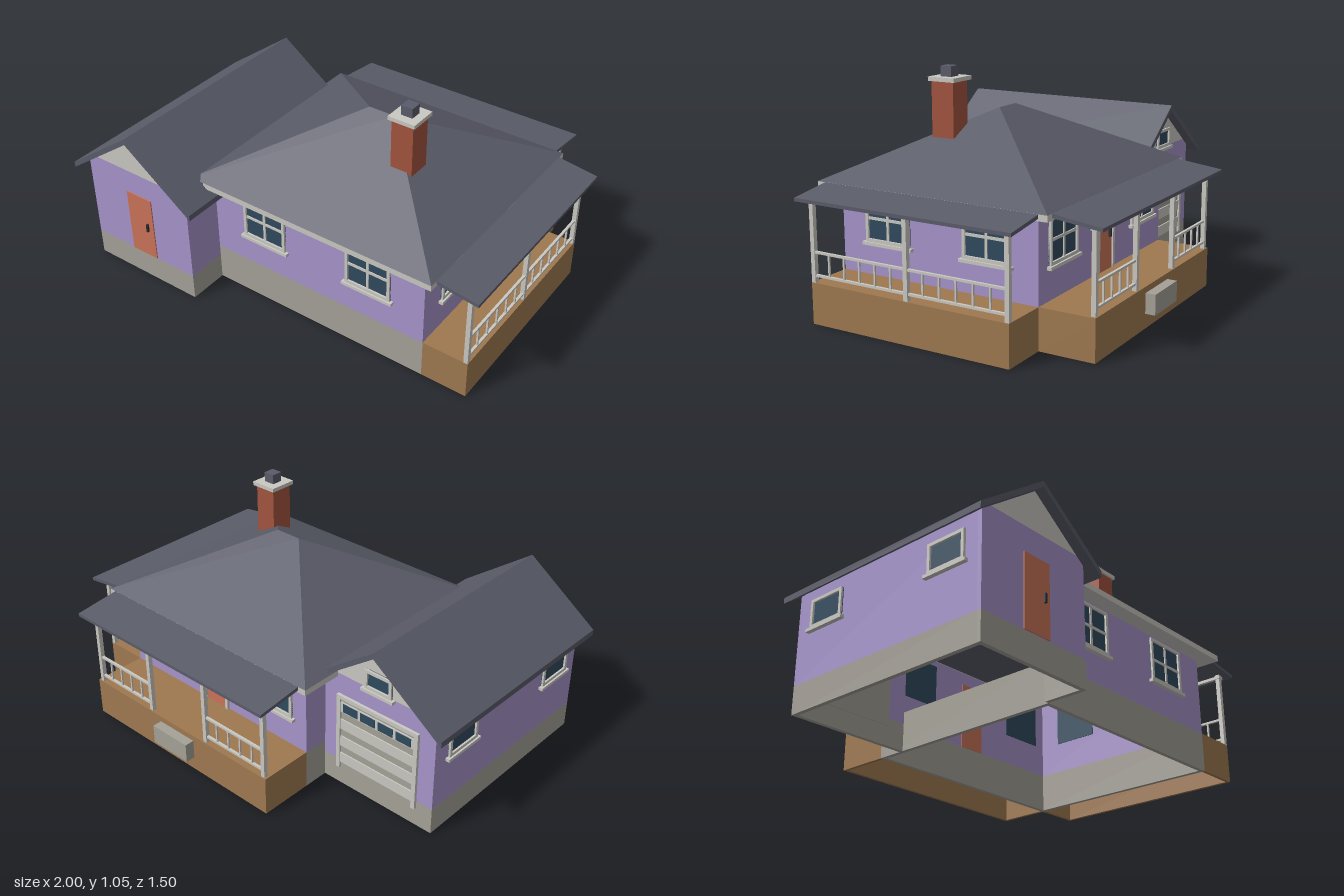
import * as THREE from 'three';

const mat = (name, color) => {
  const m = new THREE.MeshStandardMaterial({ color });
  m.name = name;
  return m;
};

export function createModel() {
  const siding = mat('lilac siding', 0xa694cb);
  const concrete = mat('concrete', 0xa5a198);
  const trim = mat('pale trim', 0xcac8c2);
  const slate = mat('slate roof', 0x5a5c69);
  slate.side = THREE.DoubleSide;
  const glass = mat('dark glass', 0x2f4a5e);
  const doorPaint = mat('orange door', 0xcb7359);
  const brick = mat('red brick', 0xa2543e);
  const wood = mat('brown wood', 0x9f7950);
  const dark = mat('dark metal', 0x2b2d33);

  const house = new THREE.Group();
  house.name = 'house';
  const group = (name, parent = house) => {
    const g = new THREE.Group();
    g.name = name;
    parent.add(g);
    return g;
  };
  const add = (parent, name, geo, material) => {
    const m = new THREE.Mesh(geo, material);
    m.name = name;
    parent.add(m);
    return m;
  };
  // box given by its limits on each axis
  const box = (parent, name, material, x0, x1, y0, y1, z0, z1) => {
    const m = add(parent, name, new THREE.BoxGeometry(x1 - x0, y1 - y0, z1 - z0), material);
    m.position.set((x0 + x1) / 2, (y0 + y1) / 2, (z0 + z1) / 2);
    return m;
  };
  // outline in x and y, extruded from z0 to z1
  const prism = (parent, name, material, pts, z0, z1) => {
    const shape = new THREE.Shape(pts.map(p => new THREE.Vector2(...p)));
    const geo = new THREE.ExtrudeGeometry(shape, { depth: z1 - z0, bevelEnabled: false });
    geo.translate(0, 0, z0);
    return add(parent, name, geo, material);
  };

  // ---- main house: foundation and walls, open below
  const T = 0.02;
  const main = group('mainHouse');
  const shell = (name, m, y0, y1) => {
    box(main, name + 'Front', m, -0.36, 0.74, y0, y1, 0.515 - T, 0.515);
    box(main, name + 'Back', m, -0.36, 0.74, y0, y1, -0.45, -0.45 + T);
    box(main, name + 'Left', m, 0.74 - T, 0.74, y0, y1, -0.45 + T, 0.515 - T);
  };
  shell('foundation', concrete, 0, 0.18);
  shell('wall', siding, 0.18, 0.56);
  box(main, 'foundationRight', concrete, -0.36, -0.36 + T, 0, 0.18, -0.45 + T, 0.515 - T);
  box(main, 'wallRight', siding, -0.36, -0.36 + T, 0.18, 0.56, -0.45 + T, -0.33);

  // ---- hipped roof with eaves board
  const E = { x0: -0.43, x1: 0.81, z0: -0.53, z1: 0.59 };
  const a = [E.x0, 0.575, E.z1], b = [E.x1, 0.575, E.z1], c = [E.x1, 0.575, E.z0], d = [E.x0, 0.575, E.z0];
  const p = [0.13, 0.86, 0.03], q = [0.26, 0.86, 0.03];
  const hip = new THREE.BufferGeometry();
  hip.setAttribute('position', new THREE.Float32BufferAttribute(
    [a, b, q, a, q, p, b, c, q, c, d, p, c, p, q, d, a, p].flat(), 3));
  hip.computeVertexNormals();
  add(main, 'hippedRoof', hip, slate);
  box(main, 'eavesFront', trim, -0.36, E.x1, 0.548, 0.575, 0.515, E.z1);
  box(main, 'eavesBack', trim, E.x0, E.x1, 0.548, 0.575, E.z0, -0.45);
  box(main, 'eavesLeft', trim, 0.74, E.x1, 0.548, 0.575, -0.45, 0.515);
  box(main, 'eavesRight', trim, E.x0, -0.36, 0.548, 0.575, -0.45, -0.33);

  // ---- chimney
  const chimney = group('chimney');
  box(chimney, 'chimneyStack', brick, 0.375, 0.48, 0.6, 0.987, 0.12, 0.23);
  box(chimney, 'chimneyCap', trim, 0.362, 0.492, 0.987, 1.005, 0.107, 0.24);
  box(chimney, 'chimneyFlue', slate, 0.4, 0.455, 1.005, 1.05, 0.147, 0.2);

  // ---- garage wing
  const garage = group('garageWing');
  const gx0 = -0.945, gx1 = -0.36, gz0 = -0.33, gz1 = 0.705, cx = -0.65, slope = 0.73;
  const under = x => 0.747 - slope * Math.abs(x - cx);
  for (const [side, z0, z1] of [['Front', gz1 - T, gz1], ['Back', gz0, gz0 + T]]) {
    box(garage, 'garageFoundation' + side, concrete, gx0, gx1, 0, 0.125, z0, z1);
    prism(garage, 'garageWall' + side, siding, [[gx0, 0.125], [gx1, 0.125], [gx1, under(gx1)],
      [cx + 0.249, 0.565], [cx - 0.249, 0.565], [gx0, under(gx0)]], z0, z1);
    prism(garage, 'gable' + side, trim, [[cx - 0.249, 0.565], [cx + 0.249, 0.565], [cx, 0.747]], z0, z1);
  }
  box(garage, 'garageFoundationRight', concrete, gx0, gx0 + T, 0, 0.125, gz0 + T, gz1 - T);
  box(garage, 'garageWallRight', siding, gx0, gx0 + T, 0.125, 0.535, gz0 + T, gz1 - T);
  box(garage, 'garageFoundationLeft', concrete, gx1 - T, gx1, 0, 0.125, 0.515, gz1 - T);
  box(garage, 'garageWallLeft', siding, gx1 - T, gx1, 0.125, 0.535, 0.515, gz1 - T);
  for (const s of [-1, 1]) {
    const pts = [[cx, 0.747], [cx + s * 0.35, 0.492], [cx + s * 0.35, 0.52], [cx, 0.775]];
    prism(garage, s < 0 ? 'garageRoofRight' : 'garageRoofLeft', slate, pts, -0.375, 0.75);
  }

  // ---- windows: built facing +z around the middle of the pane, then turned
  const windowAt = (name, x, y, z, turn, w, h, bars = true) => {
    const g = group(name);
    g.position.set(x, y, z);
    g.rotation.y = turn;
    const f = 0.014, W = w / 2, H = h / 2;
    box(g, 'pane', glass, -W, W, -H, H, -T - 0.003, 0.003);
    box(g, 'frameTop', trim, -W, W, H - f, H, 0, 0.012);
    box(g, 'frameBottom', trim, -W, W, -H, -H + f, 0, 0.012);
    for (const s of [-1, 1]) box(g, 'frameSide', trim, s * (W - f / 2) - f / 2, s * (W - f / 2) + f / 2, -H, H, 0, 0.012);
    if (bars) {
      box(g, 'barUpright', trim, -0.006, 0.006, -H, H, 0, 0.008);
      box(g, 'barAcross', trim, -W, W, -0.006, 0.006, 0, 0.008);
    }
    box(g, 'sill', trim, -W - 0.014, W + 0.014, -H - 0.014, -H, 0, 0.02);
  };
  const R = Math.PI / 2;
  for (const x of [-0.08, 0.465]) windowAt('frontWindow', x, 0.43, 0.515, 0, 0.225, 0.205);
  for (const z of [0.275, -0.213]) windowAt('leftWindow', 0.74, 0.43, z, R, 0.225, 0.205);
  for (const x of [-0.17, 0.55]) windowAt('backWindow', x, 0.43, -0.45, 2 * R, 0.225, 0.205);
  for (const z of [-0.15, 0.53]) windowAt('garageWindow', gx0, 0.415, z, -R, 0.19, 0.13, false);
  windowAt('gableWindow', cx, 0.61, gz0, 2 * R, 0.14, 0.09, false);

  // ---- doors
  const doorAt = (name, x, y, z, turn, w, h, framed) => {
    const g = group(name);
    g.position.set(x, y, z);
    g.rotation.y = turn;
    box(g, 'doorPanel', doorPaint, -w / 2, w / 2, 0, h, -T - 0.003, 0.005);
    box(g, 'doorHandle', dark, w / 2 - 0.037, w / 2 - 0.027, 0.145, 0.185, 0.005, 0.015);
    if (framed) {
      for (const s of [-1, 1]) box(g, 'doorFrame', trim, s * w / 2 - 0.008, s * w / 2 + 0.008, 0, h, 0, 0.012);
      box(g, 'doorHead', trim, -w / 2 - 0.008, w / 2 + 0.008, h, h + 0.016, 0, 0.012);
    }
  };
  doorAt('garageSideDoor', -0.648, 0.128, gz1, 0, 0.145, 0.322, false);
  doorAt('porchDoor', 0.19, 0.18, -0.45, 2 * R, 0.135, 0.32, true);

  // ---- garage door: slats with a glazed top row
  const gd = group('garageDoor');
  gd.position.set(cx, 0.09, gz0);
  gd.rotation.y = 2 * R;
  box(gd, 'doorBacking', concrete, -0.2, 0.2, 0, 0.36, -T - 0.003, 0.004);
  for (const s of [-1, 1]) box(gd, 'doorJamb', trim, s * 0.205 - 0.01, s * 0.205 + 0.01, 0, 0.375, 0, 0.014);
  box(gd, 'doorHead', trim, -0.215, 0.215, 0.36, 0.378, 0, 0.014);
  for (let i = 0; i < 4; i++) box(gd, 'slat', trim, -0.195, 0.195, 0.03 + i * 0.088, 0.08 + i * 0.088, 0.004, 0.01);
  for (let i = 0; i < 4; i++) box(gd, 'doorLight', glass, -0.18 + i * 0.094, -0.102 + i * 0.094, 0.3, 0.34, 0.008, 0.013);

  // ---- porches: hollow skirts with deck boards
  const porch = group('porch');
  box(porch, 'leftDeck', wood, 0.74, 0.955, 0.16, 0.182, -0.45, 0.515);
  box(porch, 'leftSkirt', wood, 0.94, 0.955, 0, 0.16, -0.45, 0.515);
  box(porch, 'leftSkirtFront', wood, 0.74, 0.94, 0, 0.16, 0.5, 0.515);
  box(porch, 'leftSkirtBack', wood, 0.74, 0.94, 0, 0.16, -0.45, -0.435);
  box(porch, 'backDeck', wood, -0.36, 0.74, 0.16, 0.182, -0.7, -0.45);
  box(porch, 'backSkirt', wood, -0.36, 0.74, 0, 0.16, -0.7, -0.685);
  box(porch, 'backSkirtLeft', wood, 0.725, 0.74, 0, 0.16, -0.685, -0.45);
  box(porch, 'backSkirtRight', wood, -0.36, -0.345, 0, 0.16, -0.685, -0.45);
  box(porch, 'step', concrete, 0.085, 0.3, 0.065, 0.155, -0.745, -0.7);

  // posts and railings
  const post = (x, z) => {
    box(porch, 'post', trim, x - 0.01, x + 0.01, 0.18, 0.545, z - 0.01, z + 0.01);
    box(porch, 'postCap', trim, x - 0.014, x + 0.014, 0.52, 0.535, z - 0.014, z + 0.014);
  };
  const railing = (x0, z0, x1, z1, n) => {
    const hx = x0 === x1 ? 0.006 : 0, hz = z0 === z1 ? 0.006 : 0;
    for (const y of [0.207, 0.307]) box(porch, 'rail', trim, x0 - hx, x1 + hx, y, y + 0.01, z0 - hz, z1 + hz);
    for (let i = 1; i <= n; i++) {
      const t = i / (n + 1), x = x0 + (x1 - x0) * t, z = z0 + (z1 - z0) * t;
      box(porch, 'baluster', trim, x - 0.004, x + 0.004, 0.212, 0.312, z - 0.004, z + 0.004);
    }
  };
  const leftPosts = [-0.44, 0.032, 0.505], backPosts = [-0.34, 0.013, 0.367, 0.72];
  leftPosts.forEach(z => post(0.944, z));
  backPosts.forEach(x => post(x, -0.685));
  railing(0.944, -0.44, 0.944, 0.032, 5);
  railing(0.944, 0.032, 0.944, 0.505, 5);
  railing(-0.34, -0.685, 0.013, -0.685, 4);
  railing(0.367, -0.685, 0.72, -0.685, 4);
  box(porch, 'leftBeam', trim, 0.936, 0.952, 0.522, 0.536, -0.45, 0.515);
  box(porch, 'backBeam', trim, -0.35, 0.73, 0.522, 0.536, -0.693, -0.677);

  // shallow porch roofs
  prism(porch, 'leftPorchRoof', slate, [[0.8, 0.559], [1, 0.533], [1, 0.548], [0.8, 0.576]], -0.49, 0.55);
  const backRoof = prism(porch, 'backPorchRoof', slate,
    [[0.52, 0.559], [0.745, 0.533], [0.745, 0.548], [0.52, 0.576]], -0.39, 0.775);
  backRoof.rotation.y = R;
  backRoof.position.set(0, 0, 0);

  return house;
}
